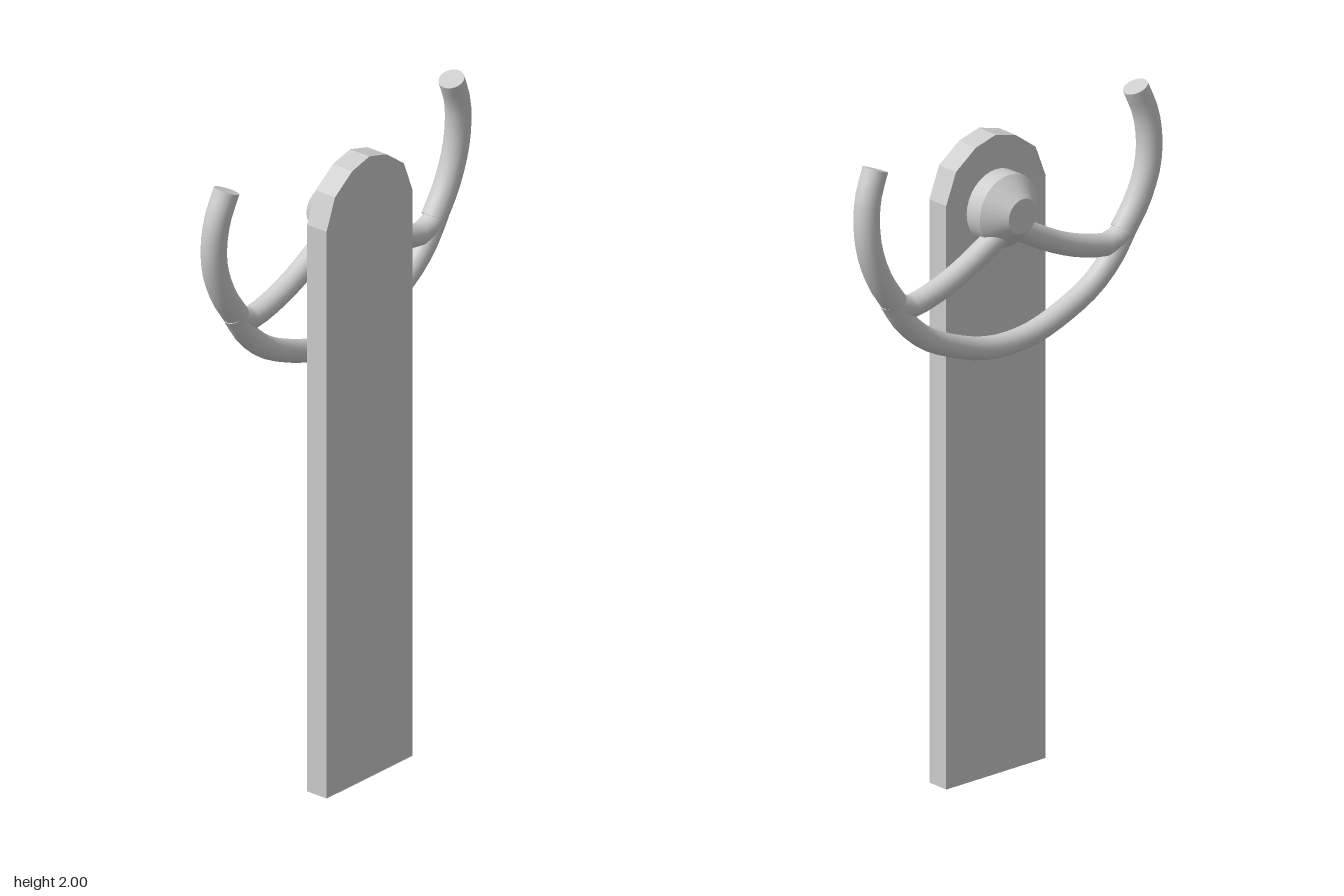
import * as THREE from 'three';
import { toCreasedNormals } from 'three/addons/utils/BufferGeometryUtils.js';

export function createModel() {
  const model = new THREE.Group();
  const metal = new THREE.MeshStandardMaterial({ color: 0xcccccc });
  metal.name = 'light grey metal';

  function add(geometry, name, parent = model) {
    const mesh = new THREE.Mesh(geometry, metal);
    mesh.name = name;
    parent.add(mesh);
    return mesh;
  }

  // Closed-ended rod through [x, y, z] points
  function addRod(points, radius, segments, name, parent = model) {
    const curve = new THREE.CatmullRomCurve3(points.map((p) => new THREE.Vector3(...p)));
    add(new THREE.TubeGeometry(curve, segments, radius, 20), name, parent);
    for (const t of [0, 1]) {
      const cap = add(new THREE.CircleGeometry(radius, 20), name + 'End', parent);
      const direction = curve.getTangent(t).multiplyScalar(t ? 1 : -1);
      cap.quaternion.setFromUnitVectors(new THREE.Vector3(0, 0, 1), direction);
      cap.position.copy(curve.getPoint(t));
    }
  }

  // Tall back plate with a faceted round top, extruded along x
  const half = [[0.187, 0], [0.187, 1.78], [0.15, 1.875], [0.075, 1.93]];
  const outline = [...half, [0, 1.95], ...half.slice().reverse().map(([z, y]) => [-z, y])];
  const plate = new THREE.ExtrudeGeometry(
    new THREE.Shape(outline.map(([z, y]) => new THREE.Vector2(z, y))),
    { depth: 0.073, bevelEnabled: false }
  );
  plate.rotateY(Math.PI / 2).translate(0.021, 0, 0);
  add(plate, 'backPlate');

  // Round boss with a tapered nose pointing to -x
  const profile = [[0, 0], [0.11, 0], [0.11, 0.058], [0.053, 0.118], [0, 0.118]];
  const boss = new THREE.LatheGeometry(profile.map(([r, h]) => new THREE.Vector2(r, h)), 32);
  boss.rotateZ(Math.PI / 2).translate(0.022, 1.735, 0);
  add(toCreasedNormals(boss, 0.5), 'boss');

  // Mirrored hooks, each continuing into an arm that reaches the boss
  for (const side of [1, -1]) {
    const hook = new THREE.Group();
    hook.name = side > 0 ? 'frontHook' : 'backHook';
    addRod([
      [-0.02, 1.983, 0.49], [-0.026, 1.9, 0.523], [-0.032, 1.81, 0.532],
      [-0.035, 1.73, 0.52], [-0.035, 1.64, 0.482], [-0.034, 1.565, 0.43]
    ].map(([x, y, z]) => [x, y, z * side]), 0.038, 12, 'hookTip', hook);
    addRod([
      [-0.034, 1.565, 0.44], [-0.033, 1.538, 0.38], [-0.032, 1.55, 0.3],
      [-0.032, 1.59, 0.187], [-0.032, 1.69, 0]
    ].map(([x, y, z]) => [x, y, z * side]), 0.034, 12, 'hookArm', hook);
    model.add(hook);
  }

  // Bowed brace joining both hooks underneath
  const brace = [[0.445, 1.575], [0.39, 1.495], [0.31, 1.425], [0.187, 1.367], [0.09, 1.338]];
  addRod([
    ...brace, [0, 1.33], ...brace.slice().reverse().map(([z, y]) => [-z, y])
  ].map(([z, y]) => [-0.033, y, z]), 0.034, 24, 'lowerBrace');

  return model;
}
